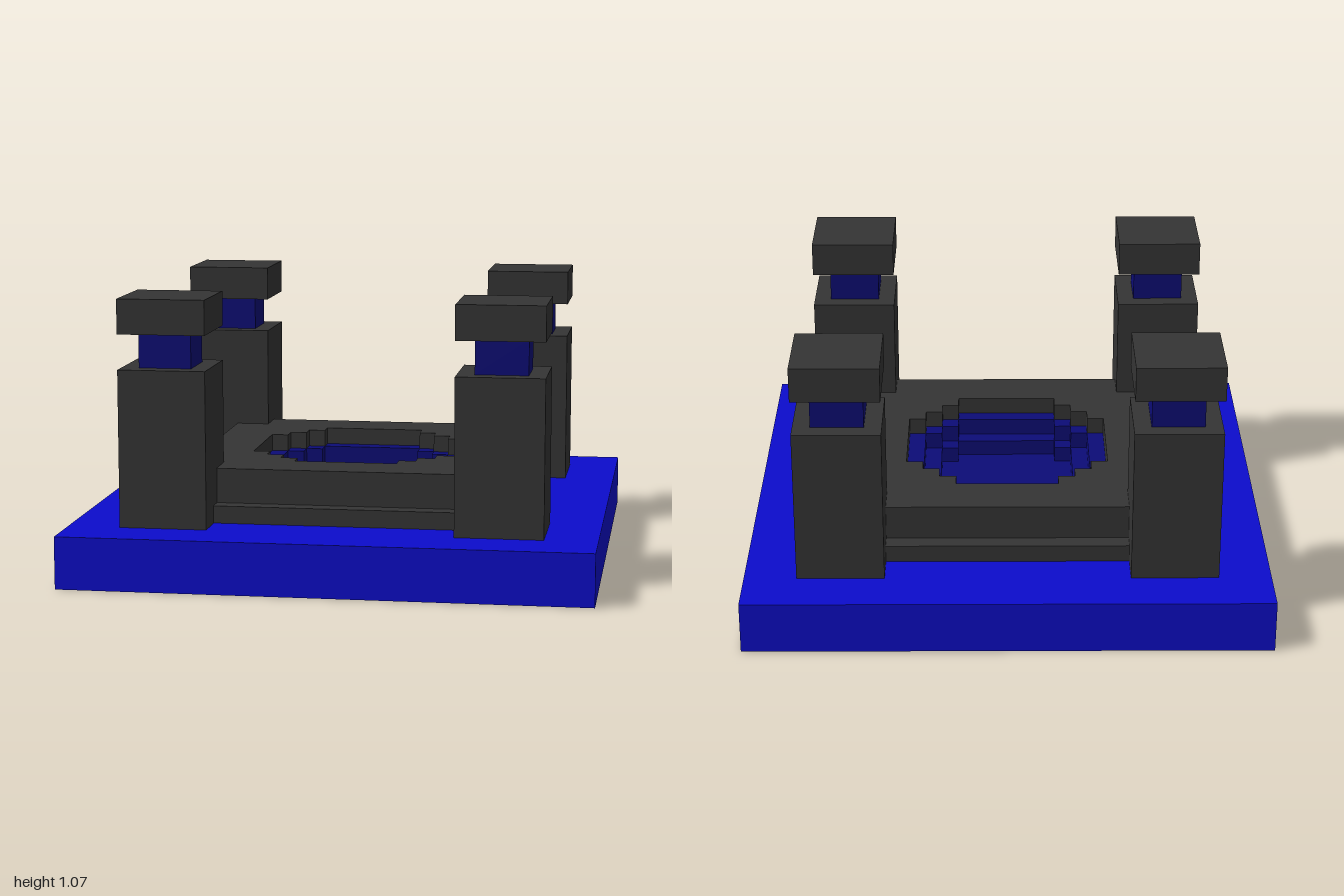
import * as THREE from 'three';

const U = 1 / 15; // block size

const mat = (name, color) => {
  const m = new THREE.MeshStandardMaterial({ color });
  m.name = name;
  return m;
};

export function createModel() {
  const group = new THREE.Group();
  const blue = mat('blue', 0x0c0ccc);
  const navy = mat('navy', 0x0c0c77);
  const grey = mat('charcoal', 0x353535);

  const add = (parent, name, geometry, material) => {
    const mesh = new THREE.Mesh(geometry, material);
    mesh.name = name;
    parent.add(mesh);
    return mesh;
  };

  // Square block of half width h, from height y0 to y1, in block units
  const block = (parent, name, h, y0, y1, material) =>
    add(parent, name, new THREE.BoxGeometry(2 * h * U, (y1 - y0) * U, 2 * h * U)
      .translate(0, (y0 + y1) / 2 * U, 0), material);

  const square = (h) => [[h, h], [-h, h], [-h, -h], [h, -h]];

  // Stepped circle: one quadrant staircase turned four times
  const steppedCircle = (r) => {
    const quarter = [];
    for (let x = r, z = 3; x >= 3; x--, z++) {
      quarter.push([x, z]);
      if (x > 3) quarter.push([x - 1, z]);
    }
    const points = [];
    for (let k = 0; k < 4; k++) {
      points.push(...quarter);
      quarter.forEach((p, i) => { quarter[i] = [-p[1], p[0]]; });
    }
    return points;
  };

  const vectors = (points) => points.map(([x, y]) => new THREE.Vector2(x * U, y * U));

  // Horizontal slab with an optional opening
  const slab = (name, outline, opening, y0, y1, material) => {
    const shape = new THREE.Shape(vectors(outline));
    if (opening) shape.holes.push(new THREE.Path(vectors(opening)));
    const geometry = new THREE.ExtrudeGeometry(shape, { depth: (y1 - y0) * U, bevelEnabled: false });
    geometry.rotateX(-Math.PI / 2).translate(0, y0 * U, 0);
    return add(group, name, geometry, material);
  };

  // Base and two-tier platform around the pool
  block(group, 'base', 15, 0, 3, blue);
  slab('lowerPlatform', square(10), steppedCircle(6), 3, 4, grey);
  slab('upperPlatform', square(9), steppedCircle(6), 4, 6, grey);

  // Sunken pool steps and floor
  slab('upperPoolStep', steppedCircle(6), steppedCircle(5), 4, 5, navy);
  slab('lowerPoolStep', steppedCircle(6), steppedCircle(4), 3, 4, navy);
  slab('poolFloor', steppedCircle(4), null, 3, 3.06, navy);

  // Corner pillars
  for (const sx of [-1, 1]) {
    for (const sz of [-1, 1]) {
      const pillar = new THREE.Group();
      pillar.name = 'pillar';
      pillar.position.set(sx * 9.5 * U, 0, sz * 9.5 * U);
      block(pillar, 'pillarShaft', 2.5, 3, 12, grey);
      block(pillar, 'pillarNeck', 1.5, 12, 14, navy);
      block(pillar, 'pillarCap', 2.5, 14, 16, grey);
      group.add(pillar);
    }
  }
  return group;
}
